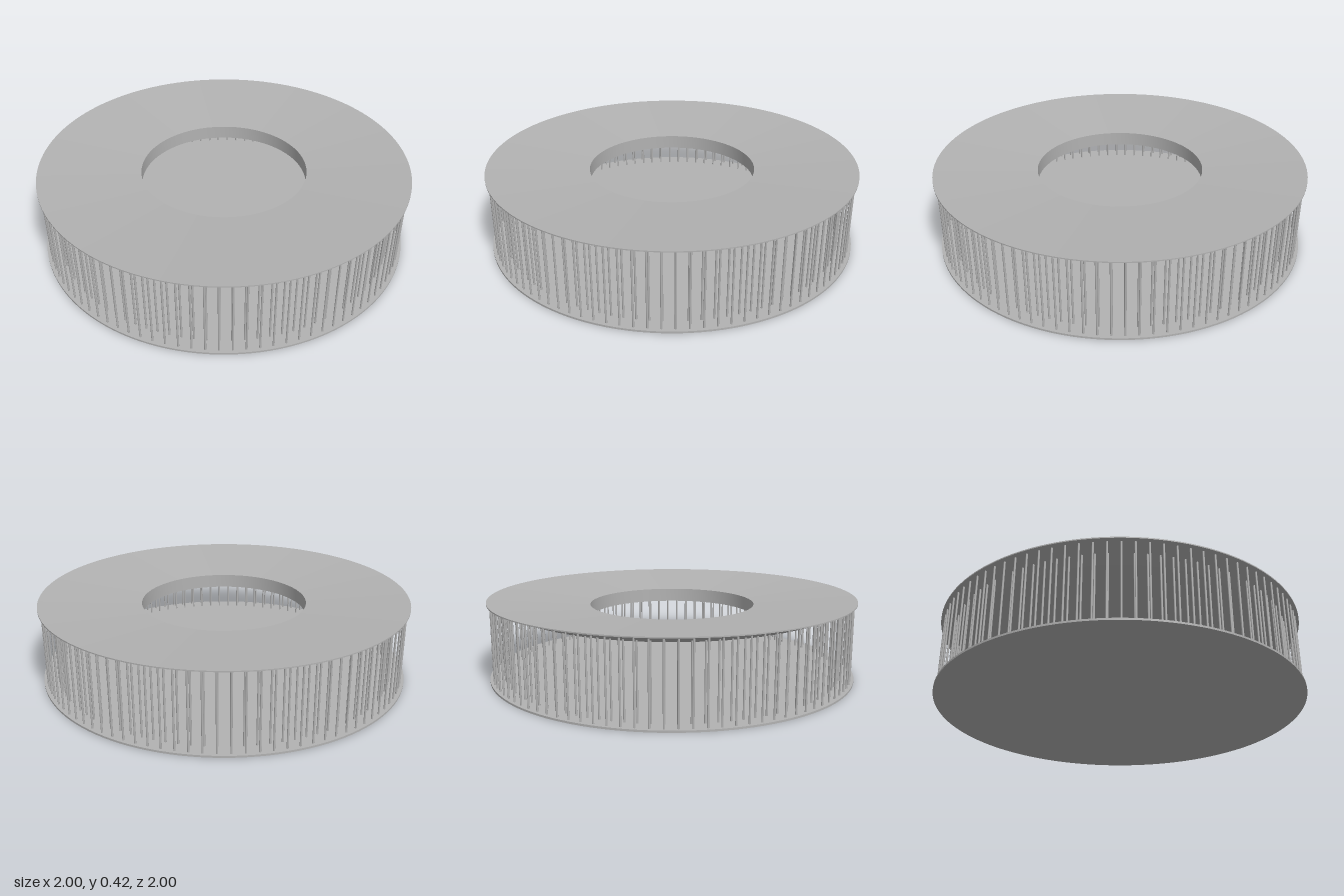
import * as THREE from 'three';
import { toCreasedNormals } from 'three/addons/utils/BufferGeometryUtils.js';

const SEGMENTS = 128;
const BAR_COUNT = 96;

export function createModel() {
  const model = new THREE.Group();
  const grey = new THREE.MeshStandardMaterial({ color: 0xb2b2b2 });
  grey.name = 'plain grey';

  // Revolves a profile of [radius, height] pairs and keeps its edges sharp
  const addTurned = (name, profile) => {
    const points = profile.map(([r, y]) => new THREE.Vector2(r, y));
    const geometry = toCreasedNormals(new THREE.LatheGeometry(points, SEGMENTS), 0.12);
    const mesh = new THREE.Mesh(geometry, grey);
    mesh.name = name;
    model.add(mesh);
  };

  // Thin round floor
  addTurned('floor', [[0, 0], [1, 0], [1, 0.01], [0, 0.01]]);

  // Ring roof: top dips gently to the opening, underside thickens inwards
  addTurned('roof', [
    [0.45, 0.305], [0.86, 0.367], [1, 0.418], [1, 0.424], [0.45, 0.38], [0.45, 0.305],
  ]);

  // Two concentric rings of slender bars between floor and roof underside
  const addBars = (name, radius, top) => {
    const ring = new THREE.Group();
    ring.name = name;
    const height = top - 0.005;
    const geometry = new THREE.CylinderGeometry(0.005, 0.005, height, 10);
    for (let i = 0; i < BAR_COUNT; i++) {
      const angle = (i / BAR_COUNT) * Math.PI * 2;
      const bar = new THREE.Mesh(geometry, grey);
      bar.name = 'bar';
      bar.position.set(Math.sin(angle) * radius, 0.005 + height / 2, Math.cos(angle) * radius);
      ring.add(bar);
    }
    model.add(ring);
  };
  addBars('outerBars', 0.98, 0.413);
  addBars('innerBars', 0.92, 0.393);

  return model;
}
